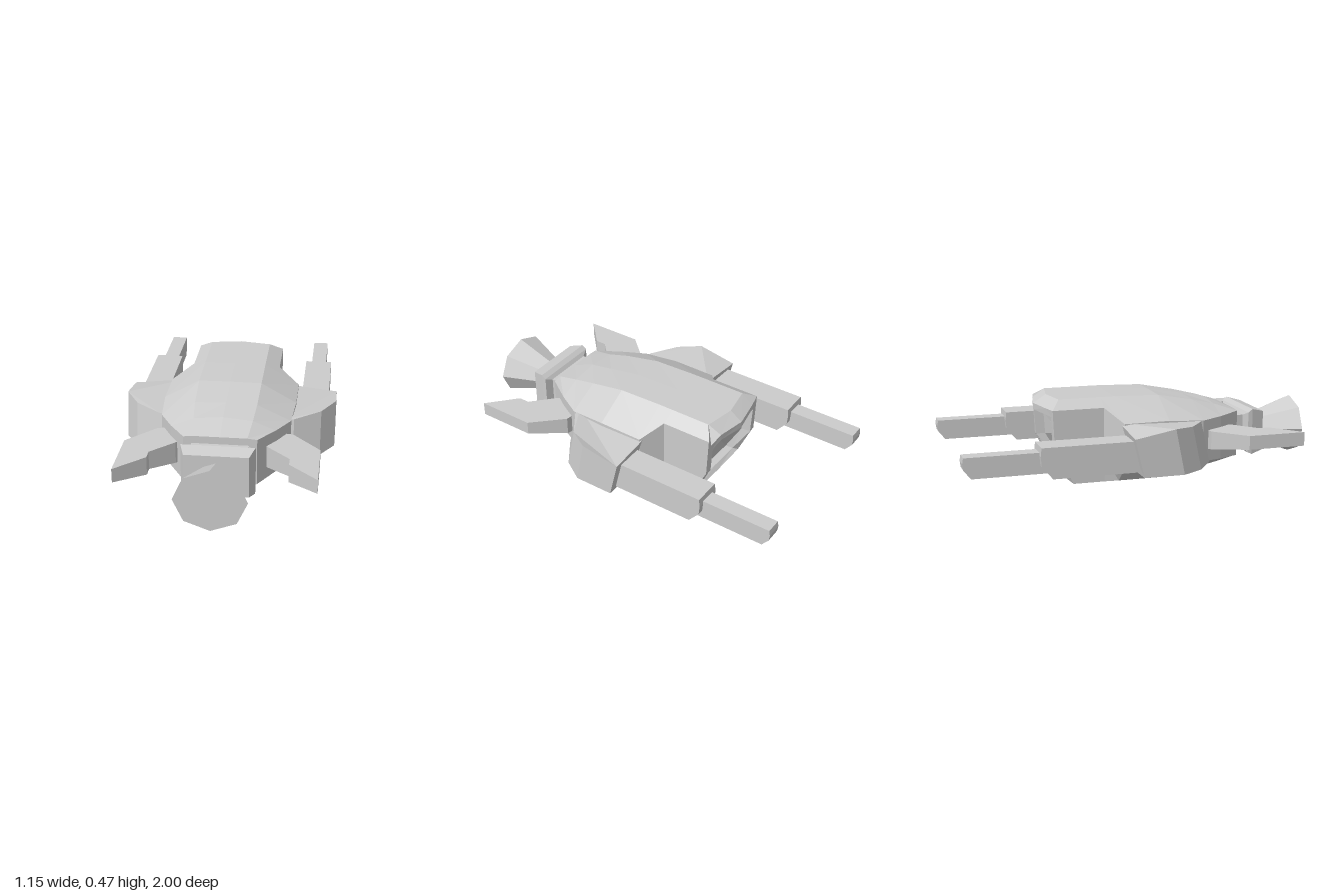
import * as THREE from 'three';

const material = new THREE.MeshStandardMaterial({ color: 0xcccccc, flatShading: true });

function addMesh(group, name, geometry) {
  const mesh = new THREE.Mesh(geometry, material);
  mesh.name = name;
  group.add(mesh);
}

// Complete a right-hand half section (top to bottom) with its mirror image
const ring = (z, half) => [
  ...half.map(([x, y, pz = z]) => [x, y, pz]),
  ...half.filter(p => p[0] > 0).reverse().map(([x, y, pz = z]) => [-x, y, pz]),
];

// Hull section: crown height, crown edge, side edges, keel edge, keel height
const hullRing = (z, top, crownX, crownY, sideX, sideTop, sideBottom, keelX, keelY, bottom) =>
  ring(z, [[0, top], [crownX, crownY], [sideX, sideTop], [sideX, sideBottom], [keelX, keelY], [0, bottom]]);

// Rear rim section shrunk by an inset, with its own z at top, side and bottom
const rimRing = (inset, zTop, zSide, zBottom) => ring(zTop, [
  [0, 0.465 - inset],
  [0.17 - inset / 4, 0.465 - inset, Math.min(zTop + 0.03, zBottom)],
  [0.245 - inset / 2, 0.42 - inset * 0.8, zSide],
  [0.245 - inset / 2, 0.2, zSide + 0.01],
  [0.245 - inset * 0.8, 0.015 + inset / 2, zBottom],
  [0, inset * 0.7, zBottom],
]);

// Faceted skin over rings running from front to rear, closed at both ends
function loft(rings) {
  const pos = [];
  const tri = (...pts) => pts.forEach(p => pos.push(...p));
  const centre = r => [0, 1, 2].map(k => r.reduce((s, p) => s + p[k], 0) / r.length);
  const n = rings[0].length;
  const first = rings[0], last = rings[rings.length - 1];
  const c0 = centre(first), c1 = centre(last);
  for (let j = 0; j < n; j++) {
    const k = (j + 1) % n;
    for (let i = 0; i < rings.length - 1; i++) {
      const a = rings[i], b = rings[i + 1];
      tri(a[j], a[k], b[k]);
      tri(a[j], b[k], b[j]);
    }
    tri(c0, first[k], first[j]);
    tri(c1, last[j], last[k]);
  }
  const geo = new THREE.BufferGeometry();
  geo.setAttribute('position', new THREE.Float32BufferAttribute(pos, 3));
  geo.computeVertexNormals();
  return geo;
}

// Plate from an x/z outline; rule(x, isTop, z) returns the new [y, z] of each corner
function plate(outline, side, rule) {
  const shape = new THREE.Shape(outline.map(([x, z]) => new THREE.Vector2(x * side, -z)));
  const geo = new THREE.ExtrudeGeometry(shape, { depth: 1, bevelEnabled: false });
  geo.rotateX(-Math.PI / 2);
  const p = geo.attributes.position;
  for (let i = 0; i < p.count; i++) {
    const [y, z] = rule(Math.abs(p.getX(i)), p.getY(i) > 0.5, p.getZ(i));
    p.setY(i, y);
    p.setZ(i, z);
  }
  geo.computeVertexNormals();
  return geo;
}

// Bar running back from z = front, its end face slanting forward below the middle
function bar(front, back, bottom, top, width, x) {
  const h = top - bottom;
  const profile = [[front, bottom], [front, top], [back + 0.005, top], [back, top - h * 0.27],
    [back + 0.005, bottom + h * 0.42], [back + h * 0.38, bottom]];
  const shape = new THREE.Shape(profile.map(([z, y]) => new THREE.Vector2(-z, y)));
  const geo = new THREE.ExtrudeGeometry(shape, { depth: width, bevelEnabled: false });
  return geo.translate(0, 0, -width / 2).rotateY(Math.PI / 2).translate(x, 0, 0);
}

export function createModel() {
  const model = new THREE.Group();
  model.name = 'spacecraft';

  // Hull, ending in a rim around a recessed rear panel
  addMesh(model, 'hull', loft([
    hullRing(0.59, 0.35, 0.14, 0.35, 0.19, 0.345, 0.09, 0.17, 0.085, 0.085),
    hullRing(0.46, 0.402, 0.155, 0.388, 0.275, 0.34, 0.1, 0.195, 0.063, 0.06),
    hullRing(0.33, 0.425, 0.165, 0.42, 0.345, 0.337, 0.11, 0.22, 0.045, 0.035),
    hullRing(0.13, 0.46, 0.17, 0.458, 0.36, 0.352, 0.11, 0.25, 0.015, 0.005),
    hullRing(-0.12, 0.465, 0.17, 0.465, 0.36, 0.35, 0.11, 0.25, 0.015, 0.003),
    hullRing(-0.2, 0.465, 0.17, 0.465, 0.245, 0.42, 0.15, 0.245, 0.015, 0),
    rimRing(0, -0.46, -0.48, -0.37),
    rimRing(0.045, -0.53, -0.482, -0.4),
    rimRing(0.08, -0.53, -0.482, -0.38),
    rimRing(0.09, -0.45, -0.43, -0.34),
  ]));

  // Neck and flared collar behind the nozzle
  const collar = [
    [0.76, 0.165, 0.328, 0.105], [0.685, 0.19, 0.348, 0.088], [0.66, 0.19, 0.33, 0.1],
    [0.645, 0.145, 0.31, 0.12], [0.58, 0.15, 0.31, 0.12],
  ];
  addMesh(model, 'collar', loft(collar.map(([z, w, top, bottom]) => ring(z, [[w, top], [w, bottom]]))));

  // Eight-sided nozzle
  const nozzle = new THREE.CylinderGeometry(1, 0.46, 0.25, 8);
  nozzle.rotateX(Math.PI / 2).scale(0.185, 0.165, 1).translate(0, 0.21, 0.875);
  addMesh(model, 'nozzle', nozzle);

  const shoulder = [[0.3, 0.32], [0.36, 0.31], [0.5, 0.21], [0.575, 0.09], [0.575, -0.13], [0.3, -0.13]];
  const fin = [[0.2, 0.48], [0.24, 0.535], [0.36, 0.65], [0.36, 0.71],
    [0.51, 0.85], [0.51, 0.53], [0.36, 0.37], [0.28, 0.36]];

  for (const [side, label] of [[1, 'left'], [-1, 'right']]) {
    // Shoulder: lower edge pushed forward, top falling towards the rear
    addMesh(model, label + 'Shoulder', plate(shoulder, side, (x, top, z) => {
      if (!top) return [0.11, z + 0.05];
      const rearY = x > 0.4 ? 0.315 : 0.345;
      return [z < 0 ? rearY : 0.355 - 0.08 * Math.max(0, z - 0.09), z];
    }));
    // Swept fin, thinner towards its tip
    addMesh(model, label + 'Fin', plate(fin, side, (x, top, z) =>
      [top ? 0.28 - 0.02 * (x - 0.23) : 0.16 + 0.14 * Math.max(0, x - 0.23), z]));
    // Pod and slimmer barrel pointing back
    addMesh(model, label + 'Pod', bar(-0.08, -0.612, 0.13, 0.295, 0.15, side * 0.455));
    addMesh(model, label + 'Barrel', bar(-0.5, -1, 0.155, 0.265, 0.085, side * 0.455));
  }
  return model;
}
